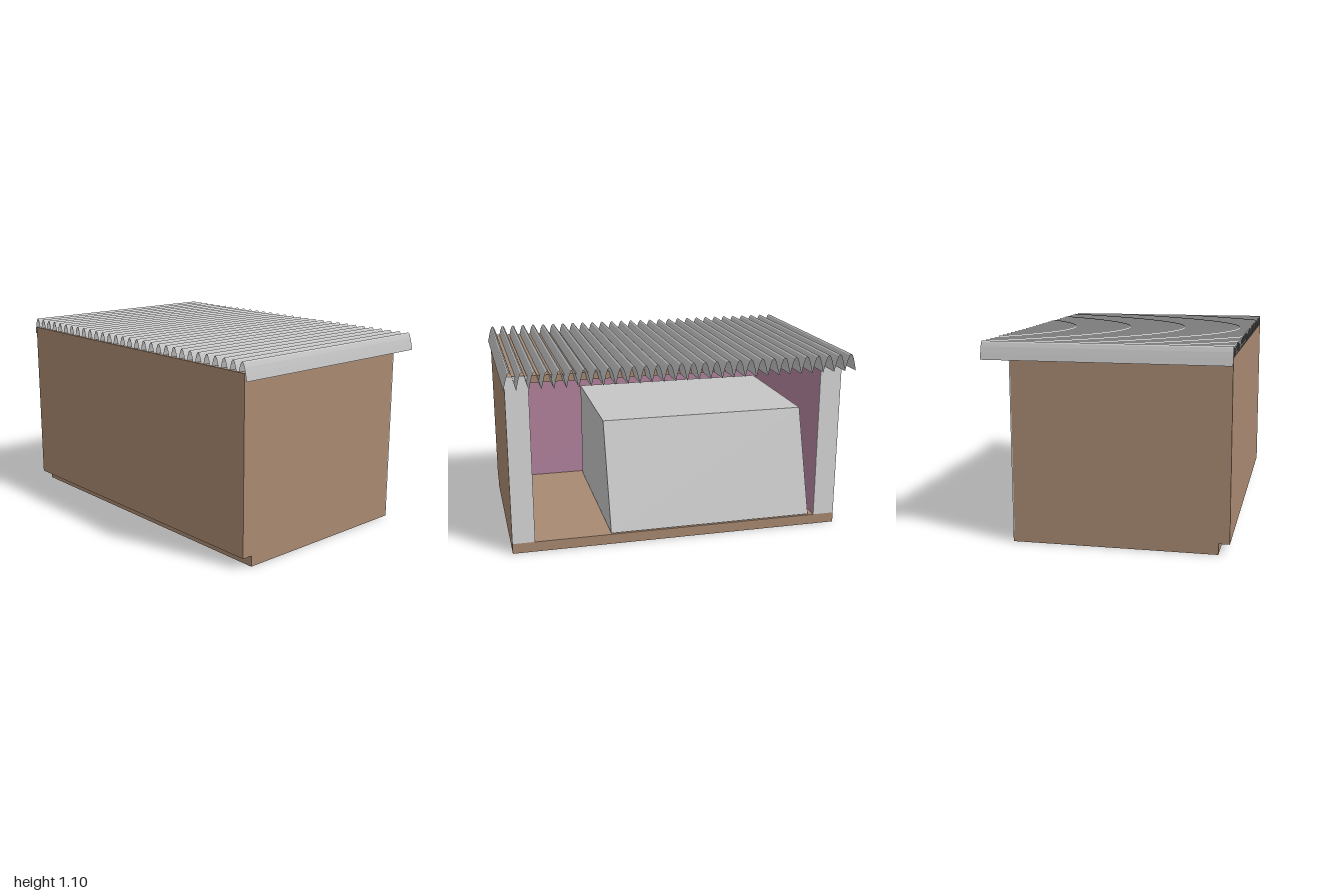
import * as THREE from 'three';

const mat = (name, color, side = THREE.FrontSide) => {
  const m = new THREE.MeshStandardMaterial({ color, side });
  m.name = name;
  return m;
};

export function createModel() {
  const brown = mat('brown boards', 0xa98a72);
  const pale = mat('pale post', 0xd9d9d9);
  const pink = mat('mauve lining', 0xb4849f);
  const grey = mat('grey container', 0xc6c6c6);
  const metal = mat('roof metal', 0xc4c4c4, THREE.DoubleSide);

  const group = new THREE.Group();
  group.name = 'shed';
  const add = (name, geometry, material) => {
    const mesh = new THREE.Mesh(geometry, material);
    mesh.name = name;
    group.add(mesh);
    return mesh;
  };
  // Box given by its minimum and maximum corners
  const box = (name, material, x0, x1, y0, y1, z0, z1) => {
    const g = new THREE.BoxGeometry(x1 - x0, y1 - y0, z1 - z0);
    g.translate((x0 + x1) / 2, (y0 + y1) / 2, (z0 + z1) / 2);
    return add(name, g, material);
  };

  const BACK = -0.67, OPEN = 0.515, HALF = 0.985, INNER = 0.855;

  // Floor slab, set in at the back, and ceiling boards
  box('floor', brown, -0.61, OPEN, 0, 0.06, -HALF, HALF);
  box('ceiling', brown, -0.61, OPEN, 1.0, 1.04, -INNER, INNER);

  // Back wall and its lining
  box('backWall', brown, BACK, -0.61, 0.06, 1.04, -HALF, HALF);
  box('backLining', pink, -0.61, -0.604, 0.06, 1.0, -INNER, INNER);

  // Side walls: brown outside, lined inside, pale post face at the open end
  for (const s of [-1, 1]) {
    const side = (name, m, x0, x1, y1, a, b) =>
      box(name, m, x0, x1, 0.06, y1, Math.min(s * a, s * b), Math.max(s * a, s * b));
    side('sideWall', brown, -0.61, OPEN - 0.006, 1.04, INNER + 0.006, HALF);
    side('sideLining', pink, -0.604, OPEN - 0.006, 1.0, INNER, INNER + 0.006);
    side('postFace', pale, OPEN - 0.006, OPEN, 1.04, INNER, HALF);
  }

  // Container with a sloping front, standing inside
  const profile = new THREE.Shape([
    new THREE.Vector2(-0.55, 0.065),
    new THREE.Vector2(0.51, 0.065),
    new THREE.Vector2(0.30, 0.69),
    new THREE.Vector2(-0.55, 0.69),
  ]);
  const container = new THREE.ExtrudeGeometry(profile, { depth: 1.23, bevelEnabled: false });
  container.translate(0, 0, -0.82);
  add('container', container, grey);

  // Corrugated roof: rounded ridges meeting in sharp valleys
  const RIDGES = 30, STEPS = 8;
  const roof = new THREE.PlaneGeometry(1.34, 2, 1, RIDGES * STEPS);
  roof.rotateX(-Math.PI / 2);
  const p = roof.attributes.position;
  for (let i = 0; i < p.count; i++) {
    const phase = (p.getZ(i) + 1) * RIDGES / 2;
    p.setY(i, 1.0 + 0.098 * Math.abs(Math.sin(Math.PI * phase)));
  }
  const flat = roof.toNonIndexed();
  flat.computeVertexNormals();
  add('corrugatedRoof', flat, metal);

  return group;
}
